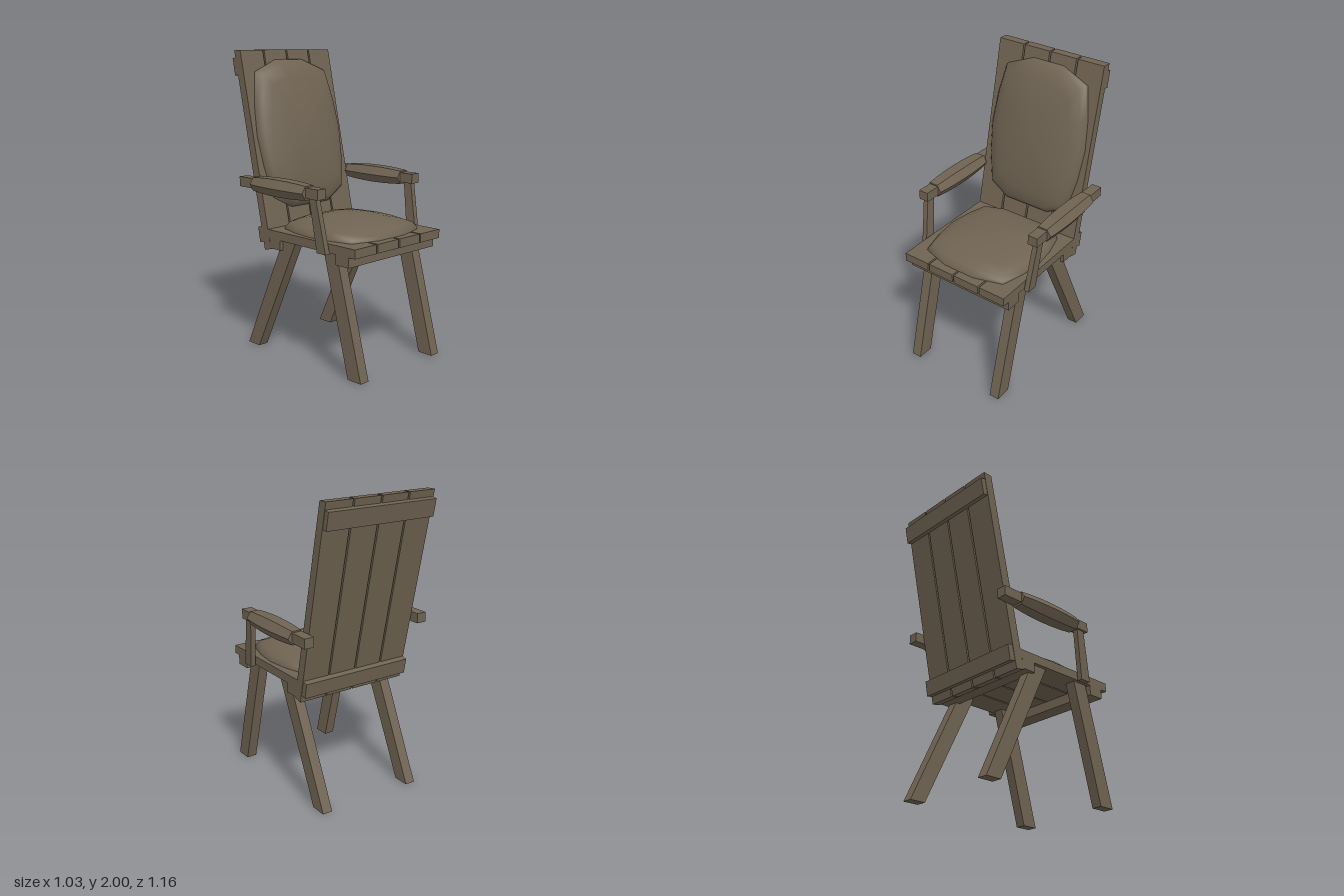
import * as THREE from 'three';

const wood = new THREE.MeshStandardMaterial({ color: 0x6f6352 });
wood.name = 'brown wood';

// Prism between x0 and x1 whose side profile is a list of [z, y] corners.
function slab(name, x0, x1, profile) {
  const shape = new THREE.Shape(profile.map(([z, y]) => new THREE.Vector2(z, y)));
  const geo = new THREE.ExtrudeGeometry(shape, { depth: x1 - x0, bevelEnabled: false });
  geo.translate(0, 0, -x1).rotateY(-Math.PI / 2);
  const mesh = new THREE.Mesh(geo, wood);
  mesh.name = name;
  return mesh;
}

const rect = (z0, z1, y0, y1) => [[z0, y0], [z1, y0], [z1, y1], [z0, y1]];

// Surface through closed rings of equal length; each ring is a list of [x, y, z].
function loft(rings) {
  const n = rings[0].length, index = [];
  for (let r = 0; r + 1 < rings.length; r++) {
    for (let i = 0; i < n; i++) {
      const a = r * n + i, b = r * n + (i + 1) % n;
      index.push(a, b, a + n, b, b + n, a + n);
    }
  }
  const geo = new THREE.BufferGeometry();
  geo.setAttribute('position', new THREE.Float32BufferAttribute(rings.flat(2), 3));
  geo.setIndex(index);
  geo.computeVertexNormals();
  return geo;
}

// Domed cushion lying on y = 0, its narrow end towards +z.
function cushion(name, halfLength) {
  const half = [[0.115, 1], [0.31, 0.84], [0.352, 0.42], [0.37, 0], [0.352, -0.42], [0.31, -0.84], [0.165, -1]];
  const outline = [...half, ...half.map(([x, u]) => [-x, u]).reverse()].reverse();
  const steps = [[1, 0], [0.985, 0.02], [0.92, 0.05], [0.75, 0.074], [0.5, 0.092], [0.25, 0.102], [0.001, 0.105]];
  const ring = ([s, y]) => outline.map(([x, u]) => [x * s, y, u * halfLength * s]);
  const group = new THREE.Group();
  group.name = name;
  const top = new THREE.Mesh(loft(steps.map(ring).map((r) => r.reverse())), wood);
  top.name = name + 'Top';
  const base = new THREE.Mesh(
    new THREE.ShapeGeometry(new THREE.Shape(outline.map(([x, u]) => new THREE.Vector2(x, u * halfLength)))), wood);
  base.geometry.rotateX(Math.PI / 2);
  base.name = name + 'Base';
  group.add(top, base);
  return group;
}

// Six-sided arm pad that swells towards its middle.
function armPad(side) {
  const hex = [[0.075, 0], [0.04, 0.055], [-0.04, 0.055], [-0.075, 0], [-0.04, -0.055], [0.04, -0.055]];
  const ring = (z, s) => hex.map(([x, y]) => [x * s, y * s, z]);
  const stations = [[-0.25, 0.8], [-0.17, 0.91], [-0.08, 0.98], [0, 1], [0.08, 0.98], [0.17, 0.91], [0.25, 0.8]];
  const pad = new THREE.Group();
  pad.name = 'armPad';
  // one strip per side keeps the long edges sharp
  hex.forEach((p, i) => {
    const q = hex[(i + 1) % 6], strip = [];
    const pos = [];
    stations.forEach(([z, s], k) => {
      pos.push(p[0] * s, p[1] * s, z, q[0] * s, q[1] * s, z);
      const a = 2 * k;
      if (k) strip.push(a - 2, a - 1, a, a - 1, a + 1, a);
    });
    const geo = new THREE.BufferGeometry();
    geo.setAttribute('position', new THREE.Float32BufferAttribute(pos, 3));
    geo.setIndex(strip);
    geo.computeVertexNormals();
    pad.add(new THREE.Mesh(geo, wood));
  });
  for (const end of [-1, 1]) {
    const pts = ring(0, 0.8).map(([x, y]) => new THREE.Vector2(x, y));
    const cap = new THREE.Mesh(new THREE.ShapeGeometry(new THREE.Shape(pts)), wood);
    cap.position.z = 0.25 * end;
    if (end < 0) cap.rotation.y = Math.PI;
    pad.add(cap);
  }
  pad.children.forEach((m) => { m.name = 'armPadFace'; });
  pad.position.set(0.438 * side, 1.146, -0.05);
  return pad;
}

export function createModel() {
  const chair = new THREE.Group();
  chair.name = 'chair';

  // seat and back planks
  for (const x of [-0.3045, -0.1015, 0.1015, 0.3045]) {
    chair.add(slab('seatPlank', x - 0.0955, x + 0.0955, rect(-0.25, 0.55, 0.785, 0.843)));
    chair.add(slab('backPlank', x - 0.0955, x + 0.0955, [[-0.275, 0.7], [-0.215, 0.714], [-0.495, 2], [-0.556, 2]]));
  }

  // cross battens
  chair.add(slab('frontSeatBatten', -0.4, 0.4, rect(0.39, 0.5, 0.72, 0.786)));
  chair.add(slab('rearSeatBatten', -0.4, 0.4, rect(-0.225, -0.122, 0.72, 0.786)));
  chair.add(slab('upperBackBatten', -0.397, 0.397, [[-0.555, 1.832], [-0.513, 1.842], [-0.536, 1.955], [-0.578, 1.945]]));
  chair.add(slab('lowerBackBatten', -0.397, 0.397, [[-0.326, 0.742], [-0.28, 0.753], [-0.3, 0.855], [-0.345, 0.843]]));

  for (const side of [-1, 1]) {
    const pair = (a, b) => (side > 0 ? [a, b] : [-b, -a]);

    // splayed legs
    chair.add(slab('frontLeg', ...pair(0.306, 0.376), [[0.47, 0], [0.581, 0], [0.371, 0.786], [0.26, 0.786]]));
    chair.add(slab('rearLeg', ...pair(0.306, 0.376), [[-0.491, 0], [-0.38, 0], [0, 0.786], [-0.122, 0.786]]));

    // arm post, leaning outwards
    const post = slab('armPost', ...pair(0.405, 0.44), [[0.265, 0.78], [0.342, 0.78], [0.277, 1.13], [0.217, 1.13]]);
    const p = post.geometry.attributes.position;
    for (let i = 0; i < p.count; i++) p.setX(i, p.getX(i) + side * 0.055 * (p.getY(i) - 0.78));
    post.geometry.computeVertexNormals();
    chair.add(post);

    // arm rail and pad
    chair.add(slab('armRail', ...pair(0.402, 0.471), rect(-0.437, 0.306, 1.116, 1.181)));
    chair.add(armPad(side));
  }

  // cushions
  const seatCushion = cushion('seatCushion', 0.366);
  seatCushion.position.set(0, 0.841, 0.13);
  const backCushion = cushion('backCushion', 0.5);
  backCushion.position.set(0, 1.447, -0.373);
  // +z end turns to the top, the dome faces forward
  backCushion.rotation.set(Math.PI / 2 - 0.2144, Math.PI, 0, 'YXZ');
  backCushion.rotation.set(0, 0, 0);
  const up = new THREE.Vector3(0, Math.cos(0.2144), -Math.sin(0.2144));
  const out = new THREE.Vector3(0, Math.sin(0.2144), Math.cos(0.2144));
  backCushion.quaternion.setFromRotationMatrix(new THREE.Matrix4().makeBasis(new THREE.Vector3(-1, 0, 0), out, up));
  chair.add(seatCushion, backCushion);
  return chair;
}
